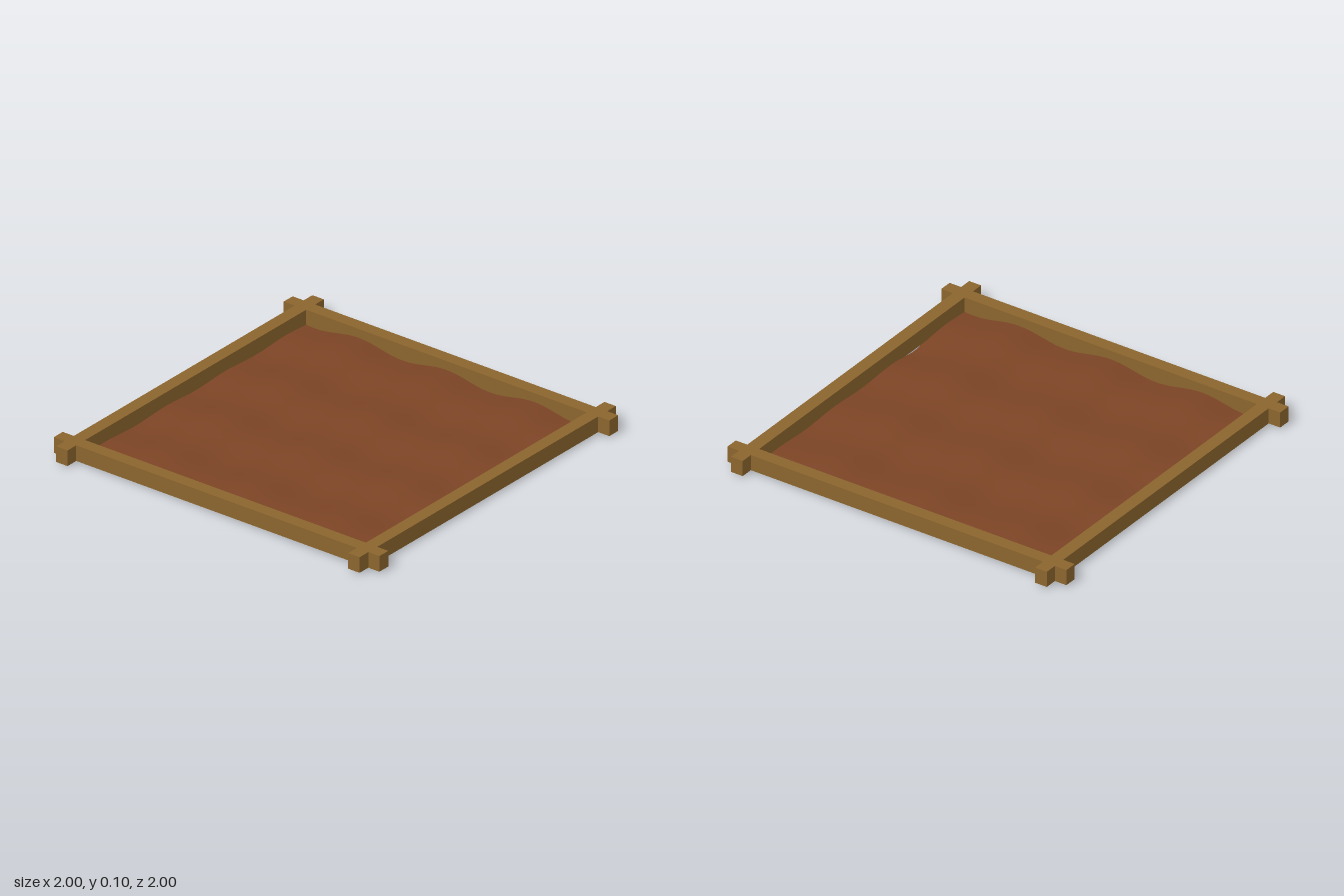
import * as THREE from 'three';

const wood = new THREE.MeshStandardMaterial({ color: 0x8b642d });
wood.name = 'wood';
const hide = new THREE.MeshStandardMaterial({ color: 0x7c4425, side: THREE.DoubleSide });
hide.name = 'hide';

// Height of the stretched sheet: strong ripples along z, faint ones along x,
// and a sag at the front edge.
function sheetHeight(x, z) {
  const ripple = -0.018 * Math.cos(((z - 0.27) * Math.PI * 2) / 0.54);
  const cross = -0.005 * Math.cos((x * Math.PI * 2) / 0.47);
  const sag = -0.012 * Math.exp(-(((x + 0.43) / 0.09) ** 2) - ((z - 0.865) / 0.06) ** 2);
  return 0.041 + ripple + cross + sag;
}

export function createModel() {
  const model = new THREE.Group();

  // Four rails crossing past each other at the corners
  const frame = new THREE.Group();
  frame.name = 'frame';
  const rail = new THREE.BoxGeometry(2, 0.085, 0.07);
  for (const side of [1, -1]) {
    const crossRail = new THREE.Mesh(rail, wood);
    crossRail.name = side > 0 ? 'frontRail' : 'backRail';
    crossRail.position.set(0, 0.0625, side * 0.897);
    const sideRail = new THREE.Mesh(rail, wood);
    sideRail.name = side > 0 ? 'leftRail' : 'rightRail';
    sideRail.rotation.y = Math.PI / 2;
    sideRail.position.set(side * 0.897, 0.0625, 0);
    frame.add(crossRail, sideRail);
  }
  model.add(frame);

  // Rippled sheet inside the frame
  const sheet = new THREE.PlaneGeometry(1.73, 1.73, 64, 64).rotateX(-Math.PI / 2);
  const pos = sheet.attributes.position;
  for (let i = 0; i < pos.count; i++) pos.setY(i, sheetHeight(pos.getX(i), pos.getZ(i)));
  sheet.computeVertexNormals();
  const sheetMesh = new THREE.Mesh(sheet, hide);
  sheetMesh.name = 'stretchedSheet';
  model.add(sheetMesh);

  return model;
}
